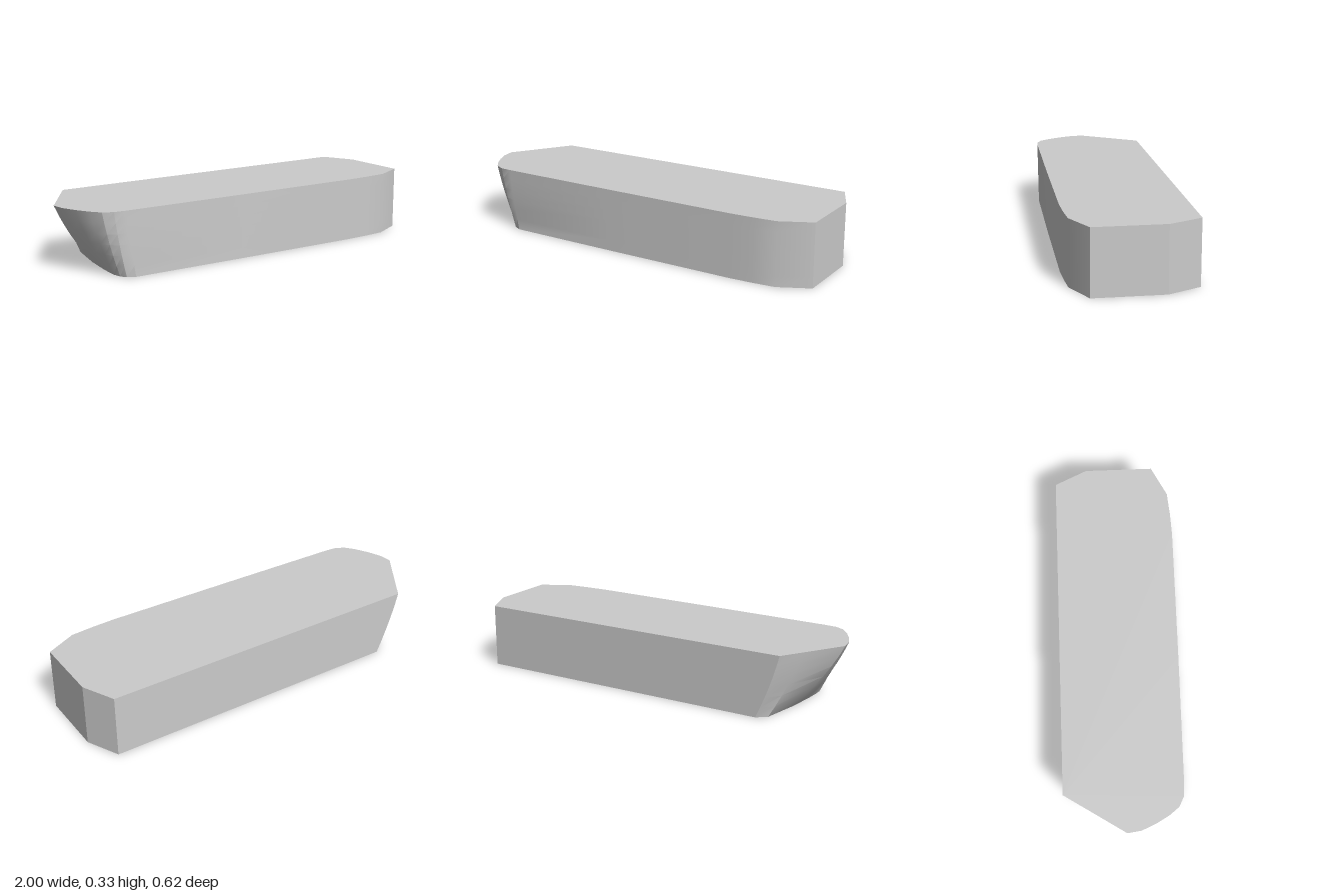
import * as THREE from 'three';
import { toCreasedNormals } from 'three/addons/utils/BufferGeometryUtils.js';

const HEIGHT = 0.33;
const LEVELS = 6;

// Raked bow: outline points [x, z] at the deck and at the flat bottom
const bowTop = [[-0.8, -0.31], [-0.87, -0.2], [-1, 0], [-0.99, 0.07], [-0.96, 0.14],
  [-0.92, 0.21], [-0.88, 0.26], [-0.83, 0.285], [-0.77, 0.29]];
const bowBottom = [[-0.68, -0.31], [-0.73, -0.27], [-0.77, -0.06], [-0.785, 0.08], [-0.79, 0.15],
  [-0.79, 0.2], [-0.78, 0.24], [-0.76, 0.27], [-0.72, 0.29]];

// Upright long side and chamfered stern, the same at every height
const stern = [[-0.1, 0.3], [0.6, 0.307], [0.72, 0.302], [0.84, 0.292], [1, 0.213],
  [1, -0.143], [0.92, -0.31]];

function createHullGeometry() {
  const top = [...bowTop, ...stern];
  const bottom = [...bowBottom, ...stern];
  const n = top.length;
  const positions = [];
  const index = [];

  // Stacked outlines, bulging slightly outwards between bottom and deck
  for (let j = 0; j <= LEVELS; j++) {
    const t = j / LEVELS;
    const s = t + 0.3 * t * (1 - t);
    for (let i = 0; i < n; i++) {
      const [bx, bz] = bottom[i];
      const [tx, tz] = top[i];
      positions.push(bx + (tx - bx) * s, HEIGHT * t, bz + (tz - bz) * s);
    }
  }

  // Side walls
  for (let j = 0; j < LEVELS; j++) {
    for (let i = 0; i < n; i++) {
      const k = (i + 1) % n;
      const a = j * n + i, b = j * n + k, c = a + n, d = b + n;
      index.push(a, b, d, a, d, c);
    }
  }

  // Flat deck and bottom
  const deck = LEVELS * n;
  for (let i = 1; i < n - 1; i++) {
    index.push(deck, deck + i, deck + i + 1);
    index.push(0, i + 1, i);
  }

  const geometry = new THREE.BufferGeometry();
  geometry.setAttribute('position', new THREE.Float32BufferAttribute(positions, 3));
  geometry.setIndex(index);
  return toCreasedNormals(geometry, THREE.MathUtils.degToRad(24));
}

export function createModel() {
  const group = new THREE.Group();
  group.name = 'hullBlock';
  const hull = new THREE.Mesh(createHullGeometry(), new THREE.MeshStandardMaterial({ color: 0xcccccc }));
  hull.name = 'hull';
  group.add(hull);
  return group;
}
